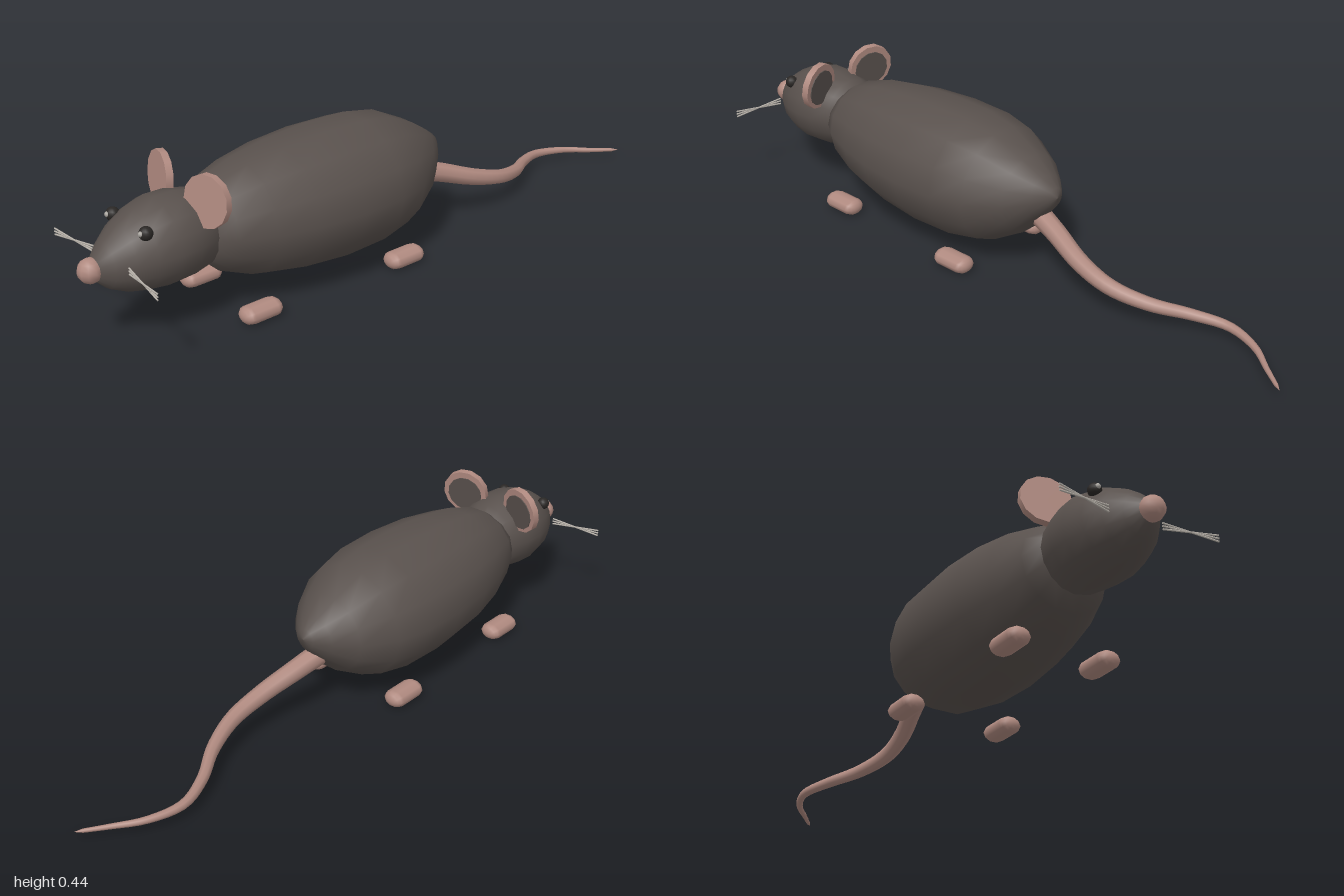
import * as THREE from 'three';

const mat = (name, color, extra = {}) => {
  const m = new THREE.MeshStandardMaterial({ color, ...extra });
  m.name = name;
  return m;
};

// Smooth skin through elliptical sections [z, centreY, halfWidth, halfHeight], z increasing
function loft(sections, sides) {
  const pos = [], index = [];
  for (const [z, cy, rx, ry] of sections) {
    for (let j = 0; j < sides; j++) {
      const a = (j / sides) * Math.PI * 2;
      pos.push(rx * Math.cos(a), cy + ry * Math.sin(a), z);
    }
  }
  for (let i = 0; i < sections.length - 1; i++) {
    for (let j = 0; j < sides; j++) {
      const k = (j + 1) % sides;
      const a = i * sides + j, b = i * sides + k, c = a + sides, d = b + sides;
      index.push(a, b, c, b, d, c);
    }
  }
  const g = new THREE.BufferGeometry();
  g.setAttribute('position', new THREE.Float32BufferAttribute(pos, 3));
  g.setIndex(index);
  g.computeVertexNormals();
  return g;
}

// Tube whose rings shrink towards the tip
function taperedTube(points, segments, sides, radiusAt) {
  const curve = new THREE.CatmullRomCurve3(points.map((p) => new THREE.Vector3(...p)));
  const g = new THREE.TubeGeometry(curve, segments, 1, sides);
  const p = g.attributes.position, v = new THREE.Vector3();
  for (let i = 0; i <= segments; i++) {
    const c = curve.getPointAt(i / segments);
    for (let j = 0; j <= sides; j++) {
      const k = i * (sides + 1) + j;
      v.fromBufferAttribute(p, k).sub(c).multiplyScalar(radiusAt(i / segments)).add(c);
      p.setXYZ(k, v.x, v.y, v.z);
    }
  }
  return g;
}

export function createModel() {
  const fur = mat('fur', 0x59514d);
  const skin = mat('pink skin', 0xb08a80);
  const eyeDark = mat('eye', 0x2a2725);
  const glint = mat('eye glint', 0xa8a49e);
  const whiskerGrey = mat('whisker', 0xb8b2aa);

  const model = new THREE.Group();
  const add = (name, geometry, material, pos = [0, 0, 0], parent = model) => {
    const m = new THREE.Mesh(geometry, material);
    m.name = name;
    m.position.set(...pos);
    parent.add(m);
    return m;
  };

  // Body, plump with a rump that rises at the back
  add('body', loft([
    [-0.205, 0.26, 0, 0], [-0.195, 0.258, 0.03, 0.03], [-0.16, 0.25, 0.07, 0.065],
    [-0.1, 0.238, 0.125, 0.118], [0, 0.234, 0.182, 0.172], [0.1, 0.234, 0.206, 0.19],
    [0.24, 0.234, 0.21, 0.194], [0.38, 0.236, 0.197, 0.184], [0.5, 0.238, 0.168, 0.165],
    [0.6, 0.244, 0.133, 0.128], [0.65, 0.25, 0.1, 0.085], [0.66, 0.25, 0, 0],
  ], 14), fur);

  // Head, narrowing to the snout
  add('head', loft([
    [0.58, 0.255, 0, 0], [0.595, 0.255, 0.075, 0.08], [0.65, 0.256, 0.105, 0.108],
    [0.71, 0.257, 0.122, 0.119], [0.77, 0.256, 0.125, 0.121], [0.83, 0.251, 0.11, 0.11],
    [0.88, 0.243, 0.086, 0.092], [0.925, 0.236, 0.056, 0.064], [0.955, 0.235, 0.028, 0.034],
    [0.965, 0.235, 0, 0],
  ], 16), fur);

  add('nose', new THREE.SphereGeometry(0.034, 10, 8), skin, [0, 0.235, 0.966]);

  for (const s of [1, -1]) {
    const side = s > 0 ? 'left' : 'right';

    // Ear: pink disc with a furry back
    const ear = new THREE.Group();
    ear.name = `${side}Ear`;
    ear.position.set(s * 0.106, 0.373, 0.677);
    ear.rotation.set(-0.12, s * 0.24, 0);
    model.add(ear);
    add('earDisc', new THREE.CylinderGeometry(0.072, 0.072, 0.02, 13).rotateX(Math.PI / 2), skin, [0, 0, 0], ear);
    add('earBack', new THREE.CylinderGeometry(0.056, 0.056, 0.006, 13).rotateX(Math.PI / 2), fur, [0, -0.004, -0.01], ear);

    // Eye
    add(`${side}Eye`, new THREE.SphereGeometry(0.019, 12, 10), eyeDark, [s * 0.076, 0.326, 0.845]);
    add(`${side}EyeGlint`, new THREE.SphereGeometry(0.008, 8, 6), glint, [s * 0.077, 0.329, 0.86]);

    // Three whiskers fanned about their middles
    for (const tilt of [-0.11, 0, 0.11]) {
      const w = add(`${side}Whisker`, new THREE.CylinderGeometry(0.0025, 0.0025, 0.16, 6).rotateZ(Math.PI / 2),
        whiskerGrey, [s * 0.16, 0.243, 0.914]);
      w.rotation.set(0, -s * 0.14, tilt);
    }

    // Feet: flattened pads along z
    for (const [name, x, z] of [['FrontFoot', 0.137, 0.548], ['BackFoot', 0.156, 0.053]]) {
      const foot = new THREE.CapsuleGeometry(0.025, 0.075, 4, 10).rotateX(Math.PI / 2).scale(1.4, 1, 1);
      add(side + name, foot, skin, [s * x, 0.025, z]);
    }
  }

  // Tail, winding down to the ground
  add('tail', taperedTube([
    [0, 0.185, -0.14], [0.018, 0.16, -0.22], [0.045, 0.122, -0.33], [0.05, 0.092, -0.44],
    [0.015, 0.068, -0.55], [-0.045, 0.05, -0.65], [-0.078, 0.04, -0.75], [-0.05, 0.034, -0.85],
    [0.005, 0.029, -0.925], [0.06, 0.027, -1],
  ], 40, 8, (t) => (t < 1 ? 0.032 - 0.027 * t : 0)), skin);

  return model;
}
